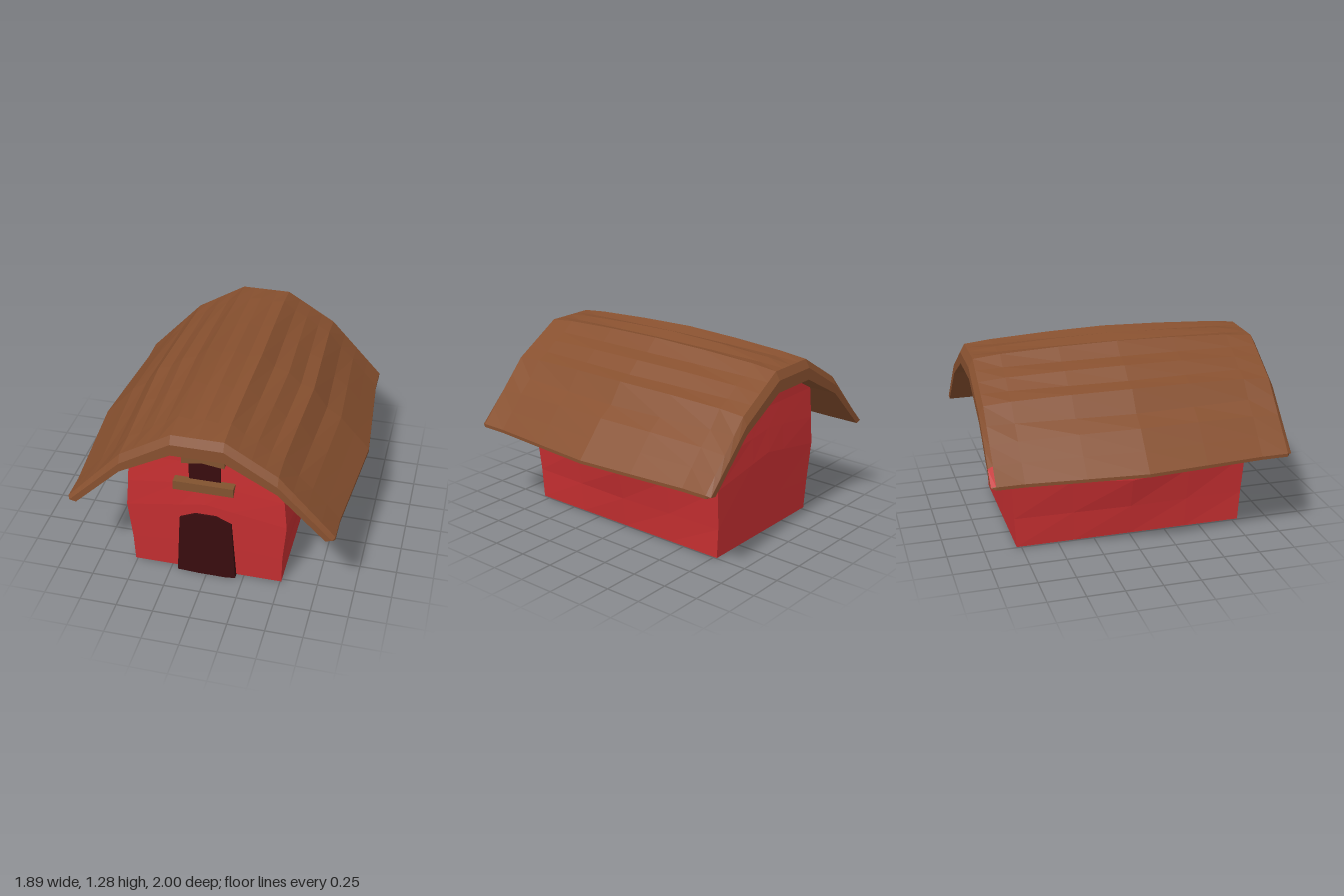
import * as THREE from 'three';

const paint = (name, color, side = THREE.FrontSide) => {
  const m = new THREE.MeshStandardMaterial({ color, side, flatShading: true });
  m.name = name;
  return m;
};
const lerp = THREE.MathUtils.lerp;

// Quad grid from f(i, j) -> [x, y, z]; faces point along i cross j
function grid(nu, nv, f) {
  const pos = [], idx = [];
  for (let j = 0; j <= nv; j++) for (let i = 0; i <= nu; i++) pos.push(...f(i, j));
  for (let j = 0; j < nv; j++) for (let i = 0; i < nu; i++) {
    const a = j * (nu + 1) + i, d = a + nu + 1;
    idx.push(a, a + 1, d + 1, a, d + 1, d);
  }
  const g = new THREE.BufferGeometry();
  g.setAttribute('position', new THREE.Float32BufferAttribute(pos, 3));
  g.setIndex(idx);
  g.computeVertexNormals();
  return g;
}

// Walls: five height rows, described at the corners and at the wall middles
const ROW = {
  y: [0.01, 0.22, 0.5, 0.7, 0.915], ySide: [0.01, 0.22, 0.43, 0.7, 0.925], yGable: [0.01, 0.27, 0.6, 0.77, 0.915],
  x: [0.51, 0.515, 0.54, 0.522, 0.51], xSide: [0.51, 0.535, 0.585, 0.55, 0.54],
  z: [0.785, 0.797, 0.81, 0.81, 0.8], zGable: [0.785, 0.8, 0.818, 0.81, 0.8],
};
const COLS = [-1, -0.333, 0, 0.333, 1];

function gablePoint(i, j) {
  const t = COLS[i], w = 1 - Math.abs(t), r = Math.min(j, 4);
  const y = j === 5 ? (Math.abs(t) === 1 ? 0.915 : 1.1) : lerp(ROW.y[r], ROW.yGable[r], w);
  return [t * ROW.x[r], y, lerp(ROW.z[r], ROW.zGable[r], w)];
}
function sidePoint(i, j) {
  const s = 1 - i / 2, w = 1 - Math.abs(s);
  return [lerp(ROW.x[j], ROW.xSide[j], w), lerp(ROW.y[j], ROW.ySide[j], w), s * ROW.z[j]];
}

// Roof: wavy crests at mid length flatten to a straight-edged profile at the ends
const MID_X = [0, 0.09, 0.185, 0.27, 0.37, 0.455, 0.545, 0.64, 0.74, 0.84, 0.945];
const MID_Y = [1.283, 1.252, 1.28, 1.197, 1.167, 1.087, 1.062, 0.925, 0.86, 0.745, 0.63];
const STATIONS = [ // z, bulge in x, bulge in y
  [1, 0, 0], [0.97, 0, 0], [0.79, 0, 0.4], [0.4, 0.5, 0.8], [0, 1, 1],
  [-0.4, 0.5, 0.8], [-0.79, 0, 0.4], [-0.97, 0, 0], [-1, 0, 0],
];
const KNOTS = [0, 2, 6, 10];
function along(knotPoints, k) {
  const s = k <= 2 ? 0 : k <= 6 ? 1 : 2;
  const f = (k - KNOTS[s]) / (KNOTS[s + 1] - KNOTS[s]);
  return [0, 1].map((c) => lerp(knotPoints[s][c], knotPoints[s + 1][c], f));
}
const EDGE = [[0, 1.18], [0.17, 1.18], [0.51, 0.975], [0.865, 0.622]];
const END = [[0, 1.235], [0.17, 1.235], [0.51, 1.03], [0.88, 0.632]];
const UNDER_END = [[0, 1.1], [0.17, 1.1], [0.51, 0.915], [0.82, 0.612]];
const UNDER_MID = [[0, 1.12], [0.18, 1.12], [0.545, 0.93], [0.875, 0.6]];

function roofTop(k, [z, wx, wy]) {
  const n = Math.abs(k), [x, y] = along(Math.abs(z) === 1 ? EDGE : END, n);
  return [Math.sign(k) * lerp(x, MID_X[n], wx), lerp(y, MID_Y[n], wy), z];
}
function roofUnder(k, [z, wx]) {
  const n = Math.abs(k), a = along(UNDER_END, n), b = along(UNDER_MID, n);
  return [Math.sign(k) * lerp(a[0], b[0], wx), lerp(a[1], b[1], wx), z];
}
function roofLip(side, st) {
  const a = roofTop(10 * side, st), b = roofUnder(10 * side, st);
  if (Math.abs(st[0]) === 1) return a.map((v, c) => (v + b[c]) / 2);
  return [a[0], a[1] - 0.022, a[2]];
}
// Closed loop: over the top, right lip, back along the underside, left lip
function roofLoop(i, j) {
  const st = STATIONS[j];
  if (i <= 20) return roofTop(i - 10, st);
  if (i === 21) return roofLip(1, st);
  if (i <= 42) return roofUnder(32 - i, st);
  return i === 43 ? roofLip(-1, st) : roofTop(-10, st);
}

export function createModel() {
  const red = paint('barn red', 0xc62f31);
  const brown = paint('roof brown', 0x87502f);
  const trim = paint('trim brown', 0x82532f);
  const dark = paint('dark opening', 0x380c0e);
  const model = new THREE.Group();
  model.name = 'barn';
  const add = (name, geometry, material, parent = model) => {
    const m = new THREE.Mesh(geometry, material);
    m.name = name;
    parent.add(m);
    return m;
  };

  // Bulging walls and floor
  const walls = new THREE.Group();
  walls.name = 'walls';
  model.add(walls);
  const gable = grid(4, 5, gablePoint), side = grid(4, 4, sidePoint);
  add('frontWall', gable, red, walls);
  add('backWall', gable, red, walls).rotation.y = Math.PI;
  add('leftWall', side, red, walls);
  add('rightWall', side, red, walls).rotation.y = Math.PI;
  add('floor', grid(1, 1, (i, j) => [(i * 2 - 1) * 0.51, 0.01, (j * 2 - 1) * 0.785]), red, walls);

  // Roof shell with closed ends
  const roof = new THREE.Group();
  roof.name = 'roof';
  model.add(roof);
  add('roofShell', grid(44, 8, roofLoop), brown, roof);
  const cap = grid(20, 1, (i, j) => (j ? roofTop : roofUnder)(i - 10, STATIONS[0]));
  add('frontRoofEdge', cap, brown, roof);
  add('backRoofEdge', cap, brown, roof).rotation.y = Math.PI;

  // Small painted patch on the rear right roof corner
  add('roofCornerPatch', grid(1, 1, (i, j) => {
    const p = roofTop(-10 + i, STATIONS[7 + j]);
    return [p[0], p[1] + 0.004, p[2] - 0.002];
  }), red, roof);

  // Door and loft window
  const panel = (name, points, z, depth) => {
    const shape = new THREE.Shape(points.map(([x, y]) => new THREE.Vector2(x, y)));
    const g = new THREE.ExtrudeGeometry(shape, { depth, bevelEnabled: false });
    add(name, g.translate(0, 0, z), dark);
  };
  panel('door', [[-0.2, 0.008], [-0.05, 0], [0.13, 0], [0.2, 0.008], [0.175, 0.465],
    [0.07, 0.515], [-0.07, 0.515], [-0.175, 0.465]], 0.78, 0.045);
  panel('loftWindow', [[-0.105, 0.77], [0.105, 0.77], [0.105, 0.97], [-0.105, 0.97]], 0.811, 0.008);

  // Sill with an underside sloping back to the wall
  const sill = new THREE.BoxGeometry(0.4, 0.065, 0.08);
  const sp = sill.attributes.position;
  for (let i = 0; i < sp.count; i++) {
    if (sp.getY(i) < 0 && sp.getZ(i) < 0) sp.setXYZ(i, sp.getX(i) * 0.8, sp.getY(i) - 0.025, sp.getZ(i));
  }
  add('windowSill', sill.translate(0, 0.768, 0.83), trim);

  // Lintel with a slightly arched lower edge
  const lintel = new THREE.BoxGeometry(0.28, 0.07, 0.07, 4);
  const lp = lintel.attributes.position;
  for (let i = 0; i < lp.count; i++) {
    const arch = 1 - Math.abs(lp.getX(i)) / 0.14;
    lp.setY(i, lp.getY(i) + arch * (lp.getY(i) < 0 ? 0.02 : 0.007));
  }
  add('windowLintel', lintel.translate(0, 0.98, 0.825), trim);

  return model;
}
